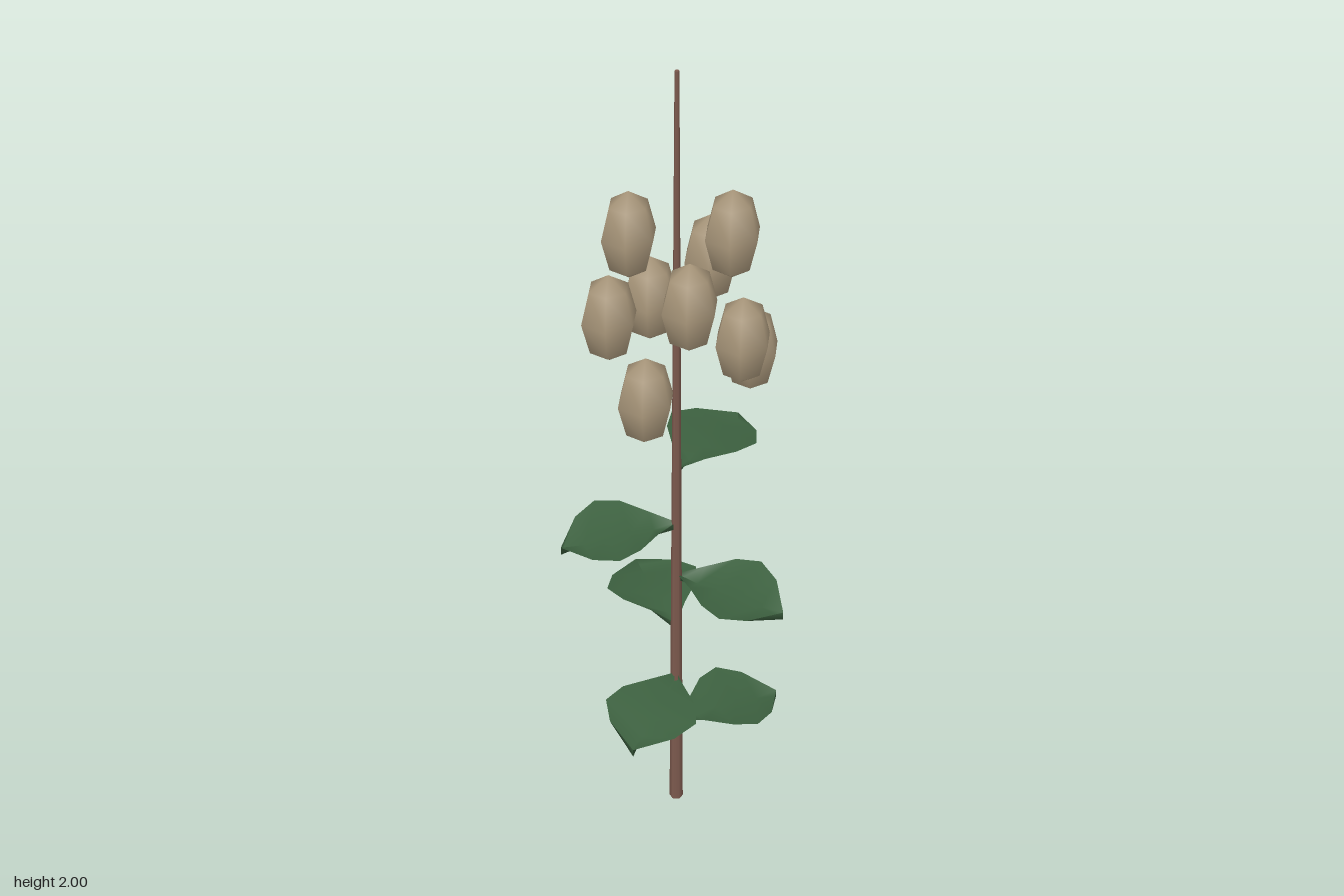
import * as THREE from 'three';

const STEM_X = -0.003, STEM_Z = 0.023;

// Folded leaf along +x: rows of left edge, sunken midrib, right edge
function leafGeometry(length = 0.267, halfWidth = 0.111, fold = 0.02, rows = 5) {
  const pos = [], index = [];
  for (let i = 0; i <= rows; i++) {
    const t = i / rows;
    const w = halfWidth * Math.sin(Math.PI * Math.pow(t, 1.3));
    const y = -0.002 + 0.022 * Math.sin(Math.PI * t) - 0.014 * t;
    for (const s of [-1, 0, 1]) pos.push(t * length, s === 0 ? y - fold : y, s * w);
    if (i === rows) continue;
    for (let j = 0; j < 2; j++) {
      const a = i * 3 + j, b = a + 1, c = a + 3, d = a + 4;
      index.push(a, b, c, b, d, c);
    }
  }
  const g = new THREE.BufferGeometry();
  g.setAttribute('position', new THREE.Float32BufferAttribute(pos, 3));
  g.setIndex(index);
  g.computeVertexNormals();
  return g;
}

export function createModel() {
  const group = new THREE.Group();
  group.name = 'plant';

  const stemBrown = new THREE.MeshStandardMaterial({ color: 0x7d5a4e });
  stemBrown.name = 'stemBrown';
  const leafGreen = new THREE.MeshStandardMaterial({ color: 0x3d6140, side: THREE.DoubleSide });
  leafGreen.name = 'leafGreen';
  const podTan = new THREE.MeshStandardMaterial({ color: 0xa8967a });
  podTan.name = 'podTan';

  // Tall tapering stem
  const stem = new THREE.Mesh(new THREE.CylinderGeometry(0.005, 0.016, 2, 6), stemBrown);
  stem.name = 'stem';
  stem.position.set(STEM_X, 1, STEM_Z);
  group.add(stem);

  // Leaves spiralling up the stem by the golden angle
  const leafGeo = leafGeometry();
  for (let i = 0; i < 6; i++) {
    const leaf = new THREE.Mesh(leafGeo, leafGreen);
    leaf.name = `leaf${i + 1}`;
    leaf.position.set(STEM_X, 0.25 + i * 0.15, STEM_Z);
    leaf.rotation.y = -THREE.MathUtils.degToRad(137.5 * i);
    group.add(leaf);
  }

  // Cluster of six-sided pods near the top
  const podGeo = new THREE.SphereGeometry(1, 6, 4);
  podGeo.scale(0.064, 0.108, 0.059);
  const pods = [
    [0.178, 1.267, 0.021], [-0.132, 1.305, 0.139], [0.012, 1.35, -0.14],
    [0.092, 1.394, 0.144], [-0.149, 1.432, -0.002], [0.116, 1.478, -0.053],
    [-0.037, 1.52, 0.152], [-0.062, 1.565, -0.087], [0.106, 1.607, 0.063],
  ];
  pods.forEach((p, i) => {
    const pod = new THREE.Mesh(podGeo, podTan);
    pod.name = `pod${i + 1}`;
    pod.position.set(...p);
    group.add(pod);
  });

  return group;
}
